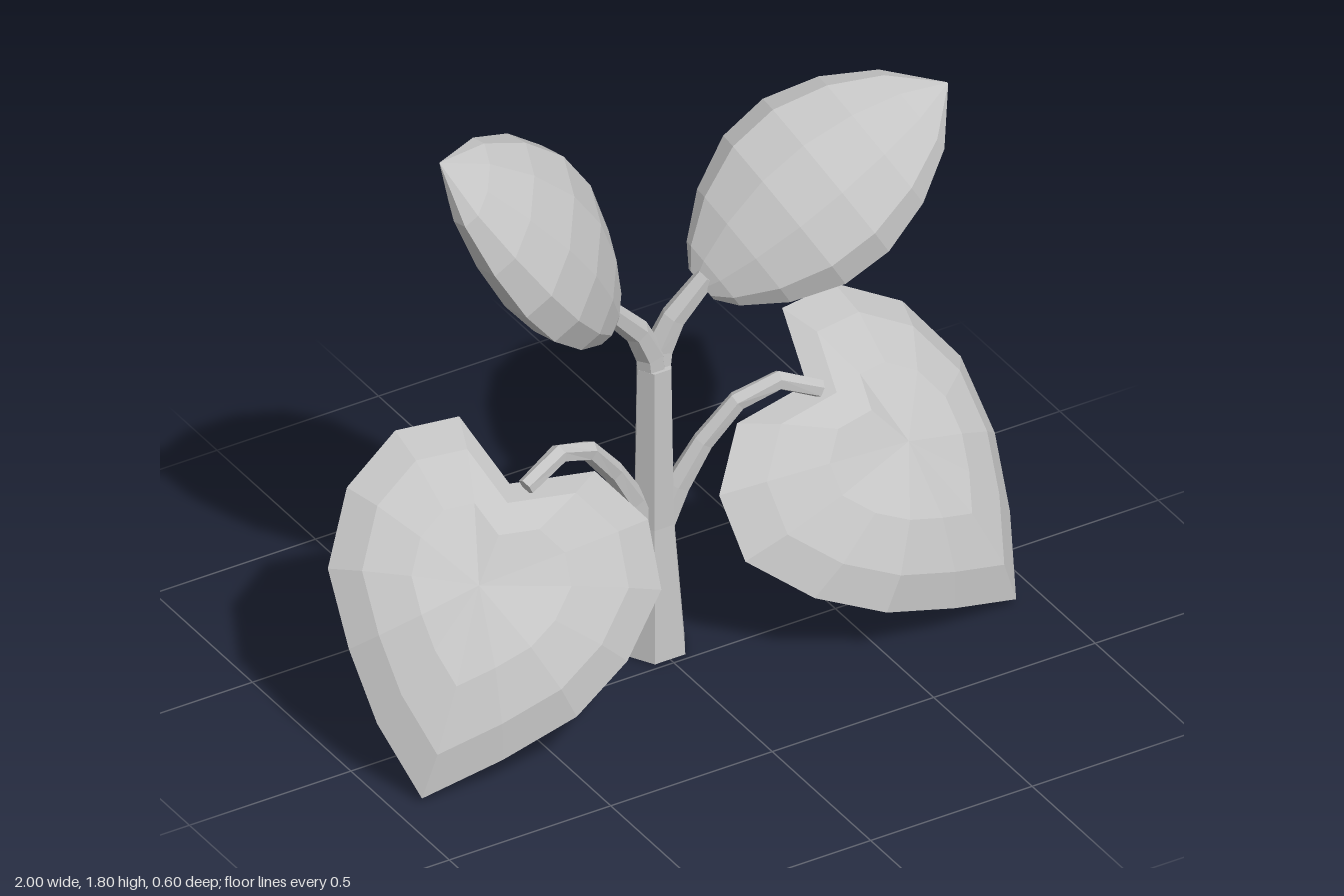
import * as THREE from 'three';

const leafGrey = new THREE.MeshStandardMaterial({ color: 0xc4c4c4 });
leafGrey.name = 'plain grey';
const V = (x, y, z) => new THREE.Vector3(x, y, z);

// Faceted mesh from a list of triangles (triples of Vector3)
function facetMesh(name, tris, flip = false) {
  const pts = [];
  for (const [a, b, c] of tris) pts.push(a, ...(flip ? [c, b] : [b, c]));
  const geo = new THREE.BufferGeometry().setFromPoints(pts);
  geo.computeVertexNormals();
  const mesh = new THREE.Mesh(geo, leafGrey);
  mesh.name = name;
  return mesh;
}

// Skin a list of rings and close both ends
function loft(name, rings) {
  const tris = [], n = rings[0].length, last = rings.length - 1;
  for (let i = 0; i < last; i++) for (let j = 0; j < n; j++) {
    const k = (j + 1) % n;
    const [a, b, c, d] = [rings[i][j], rings[i][k], rings[i + 1][k], rings[i + 1][j]];
    tris.push([a, b, c], [a, c, d]);
  }
  for (let j = 1; j < n - 1; j++) {
    tris.push([rings[0][0], rings[0][j + 1], rings[0][j]]);
    tris.push([rings[last][0], rings[last][j], rings[last][j + 1]]);
  }
  return facetMesh(name, tris);
}

function ring(center, u, v, a, b, sides) {
  return Array.from({ length: sides }, (_, j) => {
    const t = (j / sides) * Math.PI * 2;
    return center.clone().addScaledVector(u, a * Math.cos(t)).addScaledVector(v, b * Math.sin(t));
  });
}

// Six-sided tapering stalk through points [x, y, z, radius]
function stalk(name, path) {
  const p = path.map(([x, y, z]) => V(x, y, z));
  return loft(name, p.map((c, i) => {
    const t = p[Math.min(i + 1, p.length - 1)].clone().sub(p[Math.max(i - 1, 0)]).normalize();
    const u = t.clone().cross(V(0, 0, 1)).normalize();
    return ring(c, u, t.clone().cross(u), path[i][3], path[i][3], 6);
  }));
}

// Plump pointed leaf: [position along, size] profile, upper side facing up and forward
const podProfile = [[0, 0.2], [0.05, 0.42], [0.18, 0.74], [0.35, 0.97], [0.52, 1], [0.7, 0.83], [0.86, 0.52], [1, 0.01]];
function podLeaf(name, base, tip, roll, halfWidth, halfDepth) {
  const d = tip.clone().sub(base).normalize();
  const n = V(Math.abs(d.y) * Math.sign(-d.x), Math.abs(d.x), 0);
  const up = n.multiplyScalar(Math.sin(roll)).add(V(0, 0, Math.cos(roll)));
  up.addScaledVector(d, -up.dot(d)).normalize();
  const side = up.clone().cross(d);
  return loft(name, podProfile.map(([t, s]) => {
    const bow = Math.sin(Math.PI * t);
    const c = base.clone().lerp(tip, t).addScaledVector(up, 0.045 * bow).add(V(0, 0, -0.012 * bow));
    return ring(c, side, up, halfWidth * s, halfDepth * s, 10);
  }));
}

// Heart-shaped drooping leaf: rim, two domed rings in front, hollow cone behind
const heartRim = [
  [0.46, 0.68, -0.08], [0.50, 0.80, -0.27], [0.68, 0.80, -0.30], [0.86, 0.71, -0.25], [0.98, 0.55, -0.15],
  [1.0, 0.38, -0.01], [0.98, 0.20, 0.10], [0.92, 0.015, 0.23], [0.70, 0.09, 0.28], [0.48, 0.16, 0.295],
  [0.29, 0.24, 0.24], [0.13, 0.36, 0.15], [0.11, 0.52, 0.05], [0.22, 0.66, -0.04],
];
function heartLeaf(name, s) {
  const mirror = (p) => V(p.x * s, p.y, p.z);
  const normal = V(0.196, 0.585, 0.787), center = V(0.635, 0.44, -0.02);
  const rim = heartRim.map((p) => V(...p));
  const domed = (k, h) => rim.map((p) => mirror(center.clone().lerp(p, k).addScaledVector(normal, h)));
  const outer = rim.map(mirror), mid = domed(0.8, 0.075), inner = domed(0.48, 0.135);
  const top = mirror(center.clone().addScaledVector(normal, 0.155));
  const back = mirror(V(0.675, 0.46, 0.085));
  const tris = [];
  rim.forEach((_, i) => {
    const k = (i + 1) % rim.length;
    for (const [o, q] of [[outer, mid], [mid, inner]]) tris.push([o[i], q[i], q[k]], [o[i], q[k], o[k]]);
    tris.push([inner[i], top, inner[k]], [outer[i], outer[k], back]);
  });
  return facetMesh(name, tris, s < 0);
}

export function createModel() {
  const g = new THREE.Group();
  g.name = 'sprout';

  // Main stem
  g.add(stalk('stem', [[0, 0, -0.1, 0.094], [0, 0.4, -0.1, 0.06], [0, 0.89, -0.1, 0.052]]));

  // Upper branches and plump leaves
  g.add(stalk('upperRightBranch', [[0, 0.8, -0.1, 0.04], [-0.015, 0.93, -0.1, 0.042], [-0.06, 1.02, -0.09, 0.036], [-0.16, 1.13, -0.07, 0.03]]));
  g.add(stalk('upperLeftBranch', [[0, 0.8, -0.1, 0.04], [0.02, 0.93, -0.11, 0.042], [0.06, 1.02, -0.1, 0.036], [0.15, 1.13, -0.08, 0.03]]));
  g.add(podLeaf('upperRightLeaf', V(-0.145, 1.1, -0.08), V(-0.7, 1.8, -0.04), 0.8, 0.262, 0.122));
  g.add(podLeaf('upperLeftLeaf', V(0.14, 1.1, -0.09), V(0.86, 1.53, -0.02), 0.92, 0.265, 0.118));

  // Lower stalks and drooping heart leaves, mirrored
  for (const [s, label] of [[1, 'Left'], [-1, 'Right']]) {
    g.add(stalk(`lower${label}Stalk`, [
      [0.02 * s, 0.38, -0.1, 0.04], [0.07 * s, 0.49, -0.095, 0.036], [0.14 * s, 0.61, -0.08, 0.03],
      [0.23 * s, 0.72, -0.055, 0.028], [0.34 * s, 0.765, -0.025, 0.028], [0.455 * s, 0.71, -0.005, 0.025],
    ]));
    g.add(heartLeaf(`lower${label}Leaf`, s));
  }
  return g;
}
